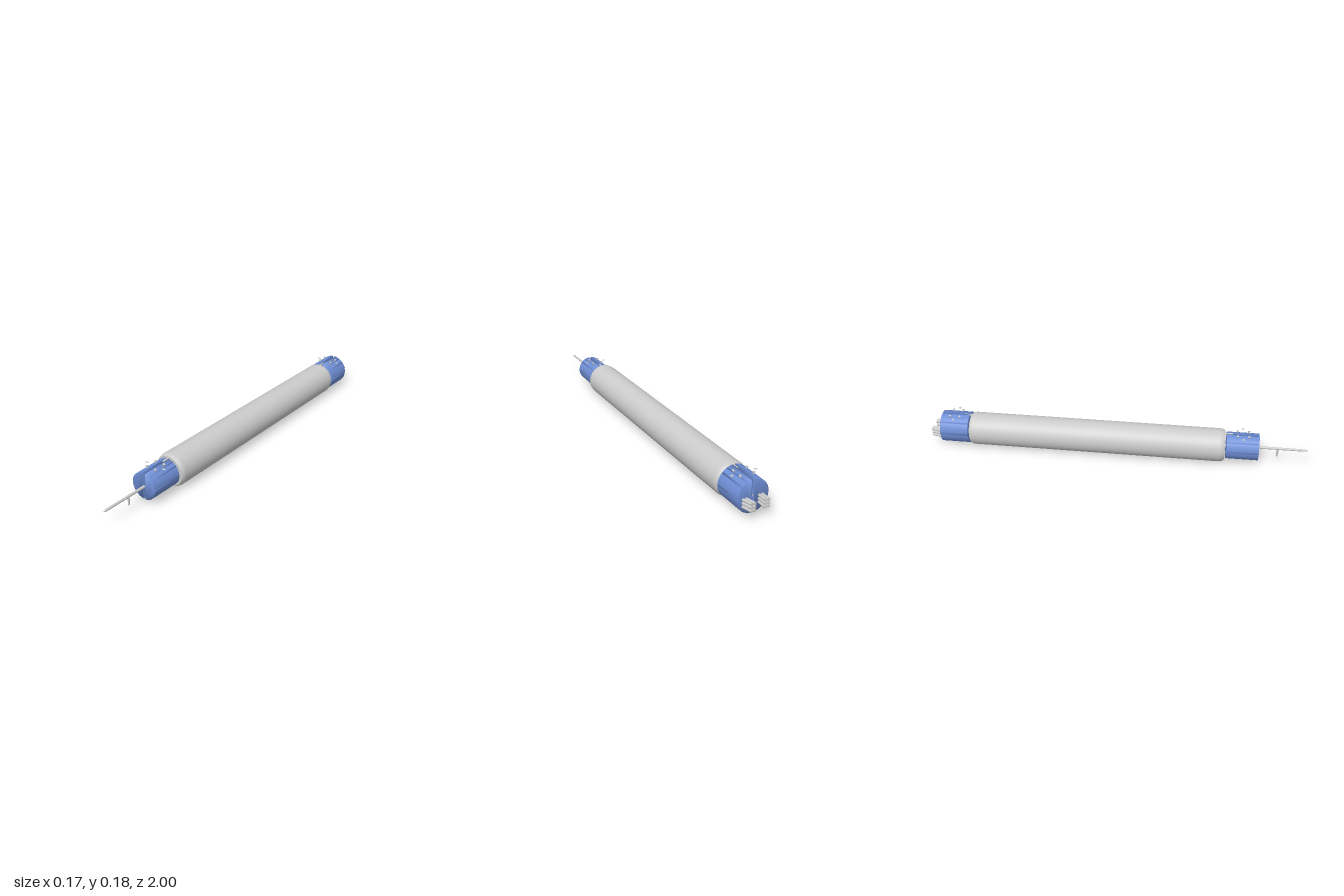
import * as THREE from 'three';
import { mergeVertices } from 'three/addons/utils/BufferGeometryUtils.js';

const AXIS_Y = 0.089;
const grey = new THREE.MeshStandardMaterial({ color: 0xcccccc, side: THREE.DoubleSide });
const blue = new THREE.MeshStandardMaterial({ color: 0x6f8fd6, side: THREE.DoubleSide });

function add(parent, name, geometry, material, x = 0, y = 0, z = 0) {
  const mesh = new THREE.Mesh(geometry, material);
  mesh.name = name;
  mesh.position.set(x, y, z);
  parent.add(mesh);
  return mesh;
}

// Cylinder lying along z
function rod(parent, name, r0, r1, z0, z1, x, y, sides = 16) {
  const geometry = new THREE.CylinderGeometry(r1, r0, z1 - z0, sides).rotateX(Math.PI / 2);
  return add(parent, name, geometry, grey, x, y, (z0 + z1) / 2);
}

// Half of a drum, cut off at the slit, with normals blended over its rim
function halfDrum(radius, gap, depth, side) {
  const a = Math.acos(gap / radius);
  const shape = new THREE.Shape();
  for (let i = 0; i <= 32; i++) {
    const t = side > 0 ? -a + (2 * a * i) / 32 : Math.PI - a + (2 * a * i) / 32;
    const x = radius * Math.cos(t), y = radius * Math.sin(t);
    if (i) shape.lineTo(x, y); else shape.moveTo(x, y);
  }
  shape.closePath();
  const geometry = new THREE.ExtrudeGeometry(shape, { depth, bevelEnabled: false });
  geometry.deleteAttribute('normal');
  geometry.deleteAttribute('uv');
  const smooth = mergeVertices(geometry, 1e-5);
  smooth.computeVertexNormals();
  return smooth;
}

// Split drum with knobs, hovering lamps and lower studs
function endModule(name, radius, z0, depth, knobX, lampX) {
  const g = new THREE.Group();
  g.name = name;
  g.position.set(0, 0.092, z0);
  const surfaceY = (x) => Math.sqrt(radius * radius - x * x);
  for (const s of [-1, 1]) {
    add(g, 'halfDrum', halfDrum(radius, 0.006, depth, s), blue);
    for (const f of [0.33, 0.68]) {
      const knob = add(g, 'knob', new THREE.CylinderGeometry(0.006, 0.004, 0.014, 10), grey,
        s * knobX, surfaceY(knobX) + 0.004, depth * f);
      knob.rotation.z = -s * 0.4;
    }
    add(g, 'lamp', new THREE.SphereGeometry(0.009, 12, 6).scale(1, 0.2, 0.8), grey,
      s * lampX, surfaceY(lampX) + 0.024, depth * 0.5);
    const stud = add(g, 'lowerStud', new THREE.CylinderGeometry(0.004, 0.004, 0.01, 8), grey,
      s * 0.043, -surfaceY(0.043) - 0.002, depth * 0.5);
    stud.rotation.z = s * 0.6;
  }
  return g;
}

export function createModel() {
  const model = new THREE.Group();

  // Long hull with chamfered ends
  const profile = [[0, -0.785], [0.078, -0.785], [0.084, -0.778], [0.087, -0.765],
    [0.087, 0.545], [0.084, 0.56], [0.078, 0.57], [0, 0.57]];
  // Doubled points keep the flat ends crisp
  profile.splice(6, 0, profile[6]);
  profile.splice(1, 0, profile[1]);
  const hull = new THREE.LatheGeometry(profile.map(([r, z]) => new THREE.Vector2(r, z)), 48)
    .rotateX(Math.PI / 2);
  add(model, 'hull', hull, grey, 0, AXIS_Y, 0);

  // Split drums at both ends
  model.add(endModule('frontModule', 0.07, 0.578, 0.167, 0.025, 0.052));
  model.add(endModule('rearModule', 0.083, -0.942, 0.15, 0.035, 0.062));

  // Axles, slit braces and small fittings on the end rims
  rod(model, 'frontAxle', 0.006, 0.006, 0.565, 0.75, 0, 0.09);
  rod(model, 'rearAxle', 0.006, 0.006, -0.935, -0.78, 0, 0.09);
  for (const [z, top] of [[0.582, 0.162], [-0.797, 0.17]]) {
    add(model, 'topBrace', new THREE.BoxGeometry(0.01, 0.008, 0.05), grey, 0, top - 0.003, z);
    add(model, 'lowerBrace', new THREE.BoxGeometry(0.011, 0.025, 0.03), grey, 0, 0.033, z);
  }

  // Nose spike with a hanging peg
  rod(model, 'noseSpike', 0.007, 0.006, 0.74, 0.985, 0, 0.09);
  rod(model, 'spikeTip', 0.006, 0.001, 0.985, 1, 0, 0.09);
  add(model, 'spikePeg', new THREE.CylinderGeometry(0.005, 0.005, 0.045, 10), grey, 0, 0.067, 0.845);

  // Two splayed clusters of tail tubes
  for (const s of [-1, 1]) {
    const cluster = new THREE.Group();
    cluster.name = 'tailTubes';
    cluster.position.set(s * 0.04, 0.072, -0.935);
    for (let row = -1; row <= 1; row++) {
      for (const col of [-1, 1]) {
        const tube = rod(cluster, 'tailTube', 0.0075, 0.0075, -0.064, 0.01, col * 0.008, row * 0.017, 12);
        tube.rotation.y = s * 0.12;
        tube.rotation.x = 0.1;
      }
    }
    model.add(cluster);

    // Studs under the hull
    const stud = add(model, 'hullStud', new THREE.CylinderGeometry(0.004, 0.004, 0.01, 8), grey,
      s * 0.045, 0.013, 0.08);
    stud.rotation.z = s * 0.55;
  }
  return model;
}
